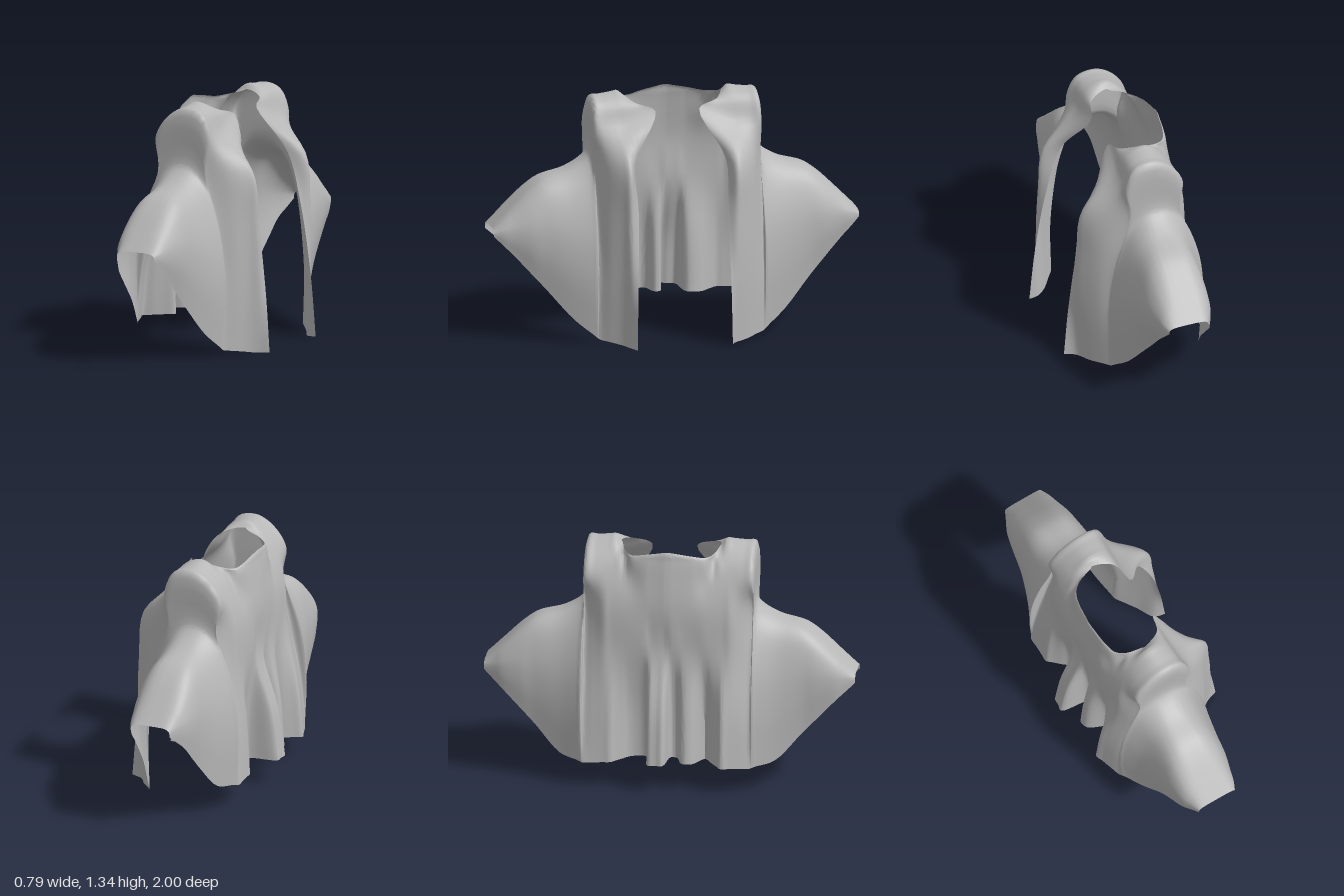
import * as THREE from 'three';
import { toCreasedNormals } from 'three/addons/utils/BufferGeometryUtils.js';

const { lerp } = THREE.MathUtils;
const STEPS = 5;       // subdivisions between control points
const TOP = 6;         // index of the shoulder line in a cross-section
const OPENING = 0.27;  // the front is open nearer to the middle than this
const SHOULDER = 0.455; // beyond this the cloth drops from the shoulder to the sleeve

// Builds value(a) from [a, value] pairs
const table = pairs => a => {
  const k = pairs.findIndex(p => p[0] >= a);
  if (k < 0) return pairs[pairs.length - 1][1];
  if (k === 0) return pairs[0][1];
  const [p, q] = [pairs[k - 1], pairs[k]];
  return lerp(p[1], q[1], (a - p[0]) / (q[0] - p[0]));
};

// Measures by distance from the middle
const topX = table([[0, -0.23], [0.13, -0.215], [0.2, -0.19], [0.24, -0.14], [0.27, -0.05]]);
const topY = table([[0, 1.31], [0.2, 1.275], [0.24, 1.285], [0.3, 1.34], [0.45, 1.32], [0.46, 1.03],
  [0.485, 0.99], [0.58, 0.93], [0.72, 0.885], [0.8, 0.83], [0.9, 0.735], [1, 0.635]]);
const frontHemX = table([[0.3, 0.33], [0.34, 0.28], [0.45, 0.2], [0.6, 0.15], [0.75, 0.11], [0.95, 0.09], [1, 0.075]]);
const frontHemY = table([[0.3, 0.006], [0.45, 0.033], [0.58, 0.14], [0.72, 0.3], [0.9, 0.5], [1, 0.6]]);
const backHemY = table([[0, 0.163], [0.45, 0.14], [0.58, 0.17], [0.9, 0.5], [1, 0.59]]);
const chestX = table([[0.3, 0.3], [0.34, 0.27], [0.4, 0.2], [0.45, 0.1]]);
const bladeX = table([[0, -0.275], [0.34, -0.25], [0.45, -0.175]]);
const waistX = table([[0.34, -0.268], [0.45, -0.225]]);
const squareness = table([[0.46, 2.3], [0.6, 3], [0.75, 4]]);

// Back hem by z, with uneven pleats near the middle
const backHemX = table([[-1, -0.15], [-0.9, -0.19], [-0.72, -0.21], [-0.55, -0.26], [-0.45, -0.32], [-0.3, -0.32],
  [-0.2, -0.22], [-0.12, -0.22], [-0.09, -0.39], [-0.01, -0.4], [0.02, -0.24], [0.05, -0.24], [0.09, -0.34],
  [0.14, -0.33], [0.2, -0.22], [0.3, -0.37], [0.45, -0.32], [0.55, -0.26], [0.72, -0.21], [0.9, -0.19], [1, -0.15]]);

// Inner edge of the front panel, from hem to collar
const frontEdge = [[0.39, 0.01, 0.28], [0.36, 0.35, 0.27], [0.3, 0.74, 0.255], [0.22, 1, 0.255],
  [0.095, 1.25, 0.12], [0.06, 1.29, 0.22]];

// Sleeve side: a squarish arch from one hem to the top, bulging a little midway
const archSide = (tx, ty, hx, hy, n, bulge) => [0, 0.35, 0.62, 0.86, 0.95, 0.99].map(f =>
  [lerp(tx, hx, Math.pow(1 - f ** n, 1 / n)) + bulge * Math.sin(Math.PI * f), lerp(hy, ty, f)]);

// Body sides, from hem to shoulder
function bodyFront(a) {
  if (a <= OPENING) return frontEdge;
  const hx = frontHemX(a), cx = chestX(a);
  return [[hx, frontHemY(a)], [lerp(hx, cx, 0.15) + 0.02, 0.35], [lerp(hx, cx, 0.55) + 0.02, 0.72], [cx, 0.99],
    [0.115, 1.18], [0.06, 1.3]];
}

function bodyBack(z, a) {
  const hx = backHemX(z), wx = waistX(a), tx = topX(a);
  return [[hx, backHemY(a)], [lerp(hx, wx, 0.3), 0.43], [wx, 0.75], [bladeX(a), 1],
    [Math.min(-0.212, tx - 0.03), 1.15], [Math.min(-0.15, tx - 0.012), 1.26]];
}

// Cross-section at z: up the front, over the shoulder and down the back
function section(z) {
  const a = Math.abs(z), tx = topX(a), ty = topY(a), n = squareness(a);
  const sleeve = a > SHOULDER;
  const bulge = 0.035 * Math.min(1, (1 - a) * 5);
  const front = sleeve ? archSide(tx, ty, frontHemX(a), frontHemY(a), n, bulge) : bodyFront(a);
  const back = sleeve ? archSide(tx, ty, backHemX(z), backHemY(a), n, -0.6 * bulge) : bodyBack(z, a);
  return [...front, [tx, ty], ...back.reverse()].map(([x, y, depth = a], j) => {
    // the far panel edge sits a little closer to the middle
    const shift = z < 0 && a <= 0.3 && j < 4 ? 0.04 * (1 - 0.6 * y) : 0;
    return new THREE.Vector3(x, y, z < 0 ? shift - depth : depth);
  });
}

// Samples a smooth curve through the points, keeping every control point
function smooth(points) {
  const n = (points.length - 1) * STEPS;
  const curve = new THREE.CatmullRomCurve3(points);
  return Array.from({ length: n + 1 }, (_, k) => curve.getPoint(k / n));
}

function cloakGeometry() {
  const side = [1, 0.95, 0.9, 0.8, 0.72, 0.58, 0.485, 0.46, 0.45, 0.4, 0.34, 0.3, OPENING];
  const middle = [0.24, 0.2, 0.14, 0.09, 0.05, 0.02, -0.01, -0.05, -0.09, -0.12, -0.2, -0.24];
  const stations = [...side, ...middle, ...side.map(z => -z).reverse()];
  const profiles = stations.map(z => smooth(section(z)));
  const nv = profiles[0].length;
  const columns = profiles[0].map((_, j) => smooth(profiles.map(p => p[j])));
  const nu = columns[0].length;

  const positions = [];
  for (let i = 0; i < nu; i++)
    for (let j = 0; j < nv; j++) {
      const p = columns[j][i];
      positions.push(p.x, Math.max(0, p.y), p.z);
    }

  const first = (side.length - 1) * STEPS, last = nu - 1 - first;
  const index = [];
  for (let i = 0; i < nu - 1; i++)
    for (let j = 0; j < nv - 1; j++) {
      // leave the front open between the two panel edges
      if (i >= first && i < last && j < TOP * STEPS) continue;
      const a = i * nv + j, b = a + nv;
      index.push(a, b, a + 1, b, b + 1, a + 1);
    }

  const geometry = new THREE.BufferGeometry();
  geometry.setAttribute('position', new THREE.Float32BufferAttribute(positions, 3));
  geometry.setIndex(index);
  return toCreasedNormals(geometry, 0.9);
}

export function createModel() {
  const cloth = new THREE.MeshStandardMaterial({ color: 0xb8b8b8, side: THREE.DoubleSide });
  cloth.name = 'grey cloth';

  const cloak = new THREE.Mesh(cloakGeometry(), cloth);
  cloak.name = 'drapedCloak';

  const group = new THREE.Group();
  group.name = 'cloak';
  group.add(cloak);
  return group;
}
